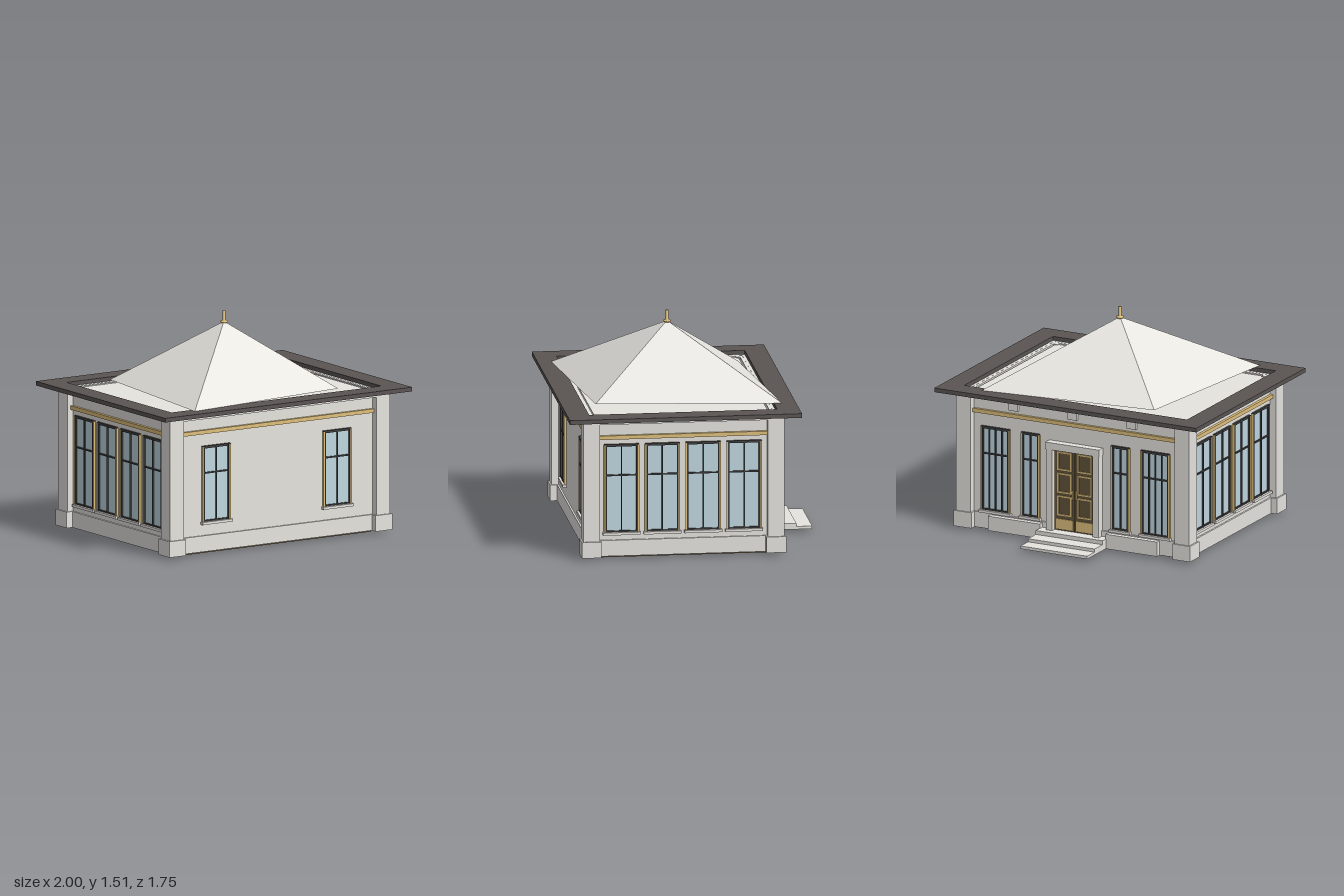
import * as THREE from 'three';

const mat = (name, color) => {
  const m = new THREE.MeshStandardMaterial({ color });
  m.name = name;
  return m;
};

export function createModel() {
  const stone = mat('stone', 0xe6e4df);
  const slate = mat('slate', 0x5a5553);
  const dark = mat('dark frame', 0x3f3f3f);
  const gold = mat('gold', 0xdfc07c);
  const glass = mat('glass', 0xc0d7e1);
  const wood = mat('dark wood', 0x62533b);

  const root = new THREE.Group();
  root.name = 'pavilion';
  const house = new THREE.Group();
  house.name = 'house';
  house.position.z = 0.081; // the steps push the house forward of the middle
  root.add(house);

  // Box given by its limits on each axis
  const box = (parent, name, m, x0, x1, y0, y1, z0, z1) => {
    const mesh = new THREE.Mesh(new THREE.BoxGeometry(x1 - x0, y1 - y0, z1 - z0), m);
    mesh.position.set((x0 + x1) / 2, (y0 + y1) / 2, (z0 + z1) / 2);
    mesh.name = name;
    parent.add(mesh);
  };

  // Rectangular ring with an open middle
  const ring = (name, m, ox, oz, ix, iz, y0, y1) => {
    const s = new THREE.Shape([[-ox, -oz], [ox, -oz], [ox, oz], [-ox, oz]].map(p => new THREE.Vector2(...p)));
    s.holes.push(new THREE.Path([[-ix, -iz], [-ix, iz], [ix, iz], [ix, -iz]].map(p => new THREE.Vector2(...p))));
    const g = new THREE.ExtrudeGeometry(s, { depth: y1 - y0, bevelEnabled: false });
    g.rotateX(-Math.PI / 2).translate(0, y0, 0);
    const mesh = new THREE.Mesh(g, m);
    mesh.name = name;
    house.add(mesh);
  };

  // Hollow body with floor, ceiling, header and eave
  const WX = 0.845, WZ = 0.635;
  box(house, 'floor', wood, -0.80, 0.80, 0, 0.02, -0.59, 0.59);
  box(house, 'ceiling', stone, -0.80, 0.80, 0.955, 0.97, -0.59, 0.59);
  ring('walls', stone, WX, WZ, 0.81, 0.60, 0.02, 0.975);
  ring('plinth', stone, WX + 0.012, WZ + 0.012, 0.83, 0.62, 0.02, 0.13);
  ring('goldBand', gold, WX + 0.02, WZ + 0.02, 0.83, 0.62, 0.83, 0.857);
  ring('header', stone, 0.889, 0.684, 0.83, 0.62, 0.94, 0.976);
  ring('eave', slate, 1, 0.79, 0.85, 0.64, 0.975, 1.004);

  // Corner pillars on square bases
  for (const sx of [-1, 1]) for (const sz of [-1, 1]) {
    const pillar = new THREE.Group();
    pillar.name = 'cornerPillar';
    pillar.position.set(sx * 0.835, 0, sz * 0.628);
    box(pillar, 'shaft', stone, -0.055, 0.055, 0.1, 0.975, -0.057, 0.057);
    box(pillar, 'base', stone, -0.067, 0.067, 0.02, 0.13, -0.067, 0.067);
    house.add(pillar);
  }

  // Skewed pyramid roof
  const base = [[-0.70, 0.698], [0.555, 0.558], [0.69, -0.695], [-0.555, -0.555]];
  const tri = [];
  base.forEach(([x, z], i) => {
    const [x2, z2] = base[(i + 1) % 4];
    tri.push(x, 1.005, z, x2, 1.005, z2, 0, 1.437, 0);
    tri.push(x2, 1.005, z2, x, 1.005, z, 0, 1.005, 0);
  });
  const roofGeo = new THREE.BufferGeometry();
  roofGeo.setAttribute('position', new THREE.Float32BufferAttribute(tri, 3));
  roofGeo.computeVertexNormals();
  const roof = new THREE.Mesh(roofGeo, stone);
  roof.name = 'roof';
  house.add(roof);

  // Finial
  const finial = new THREE.Mesh(new THREE.LatheGeometry([
    [0, 1.425], [0.02, 1.427], [0.028, 1.434], [0.024, 1.441], [0.011, 1.446], [0.011, 1.51], [0, 1.51],
  ].map(p => new THREE.Vector2(...p)), 12), gold);
  finial.name = 'finial';
  house.add(finial);

  // Window facing +z in its own frame, with its foot at y0
  const makeWindow = (w, y0, y1, cols, transom) => {
    const g = new THREE.Group(), h = w / 2, t = 0.006;
    g.name = 'window';
    box(g, 'glass', glass, -h, h, y0, y1, -0.003, 0.003);
    for (let i = 0; i <= cols; i++) {
      const x = -h + (w * i) / cols, b = i % cols ? 0.004 : t;
      box(g, 'upright', dark, x - b, x + b, y0, y1, 0, 0.014);
    }
    for (const y of [y0 + t, transom, y1 - t]) {
      box(g, 'crossbar', dark, -h, h, y - 0.005, y + 0.005, 0, 0.013);
    }
    for (const s of [-1, 1]) {
      const x = s * (h + 0.009);
      box(g, 'goldTrim', gold, x - 0.005, x + 0.005, y0, y1, -0.003, 0.016);
    }
    box(g, 'windowHead', dark, -h - 0.012, h + 0.012, y1, y1 + 0.006, -0.003, 0.016);
    box(g, 'sill', stone, -h - 0.022, h + 0.022, y0 - 0.018, y0, -0.003, 0.028);
    // inner face of the frame, standing just inside the wall
    box(g, 'innerFrame', dark, -h, h, y0, y1, -0.041, -0.033);
    return g;
  };
  const place = (g, x, z, turn) => {
    g.position.set(x, 0, z);
    g.rotation.y = turn;
    house.add(g);
  };

  for (const s of [-1, 1]) {
    // Front pair
    place(makeWindow(0.2, 0.225, 0.74, 2, 0.56), s * 0.49, WZ, 0);
    // Four along each side
    for (let i = 0; i < 4; i++) {
      place(makeWindow(0.212, 0.185, 0.79, 2, 0.58), s * WX, 0.42 - i * 0.278, s * Math.PI / 2);
    }
    // Wide and narrow back windows
    place(makeWindow(0.195, 0.15, 0.735, 4, 0.55), s * 0.61, -WZ, Math.PI);
    place(makeWindow(0.115, 0.15, 0.735, 2, 0.55), s * 0.343, -WZ, Math.PI);
    // Low walls beside the steps
    box(house, 'lowWall', stone, s > 0 ? 0.25 : -0.645, s > 0 ? 0.645 : -0.25, 0.02, 0.122, -0.685, -0.62);
  }

  // Small blocks under the back header
  for (const x of [-0.43, 0.02, 0.47]) box(house, 'bracket', stone, x - 0.035, x + 0.035, 0.88, 0.945, -0.655, -0.62);

  // Entrance, turned to face the back
  const entrance = new THREE.Group();
  entrance.name = 'entrance';
  place(entrance, 0, 0, Math.PI);
  [[0.02, 0.04, 0.956], [0.04, 0.062, 0.848], [0.062, 0.09, 0.735]].forEach(([a, b, z]) =>
    box(entrance, 'step', stone, -0.255, 0.255, a, b, 0.62, z));
  for (const s of [-1, 1]) {
    box(entrance, 'doorJamb', stone, s * 0.178 - 0.024, s * 0.178 + 0.024, 0.09, 0.67, 0.62, 0.69);
  }
  box(entrance, 'doorLintel', stone, -0.205, 0.205, 0.66, 0.71, 0.62, 0.692);

  // Two door leaves with raised gold mouldings
  for (const s of [-1, 1]) {
    const leaf = new THREE.Group();
    leaf.name = 'doorLeaf';
    leaf.position.set(s * 0.077, 0, 0.652);
    box(leaf, 'doorPanel', wood, -0.076, 0.076, 0.09, 0.66, -0.03, 0);
    box(leaf, 'kickPlate', gold, -0.066, 0.066, 0.1, 0.17, 0, 0.004);
    for (const [a, b] of [[0.2, 0.33], [0.36, 0.49], [0.52, 0.64]]) {
      for (const x of [-0.05, 0.05]) box(leaf, 'moulding', gold, x - 0.005, x + 0.005, a, b, 0, 0.006);
      for (const y of [a, b]) box(leaf, 'moulding', gold, -0.055, 0.055, y - 0.005, y + 0.005, 0, 0.006);
    }
    box(leaf, 'doorHandle', gold, -s * 0.064 - 0.004, -s * 0.064 + 0.004, 0.32, 0.38, 0, 0.014);
    entrance.add(leaf);
    box(entrance, 'doorTrim', gold, s * 0.151 - 0.004, s * 0.151 + 0.004, 0.09, 0.66, 0.63, 0.658);
  }

  return root;
}
